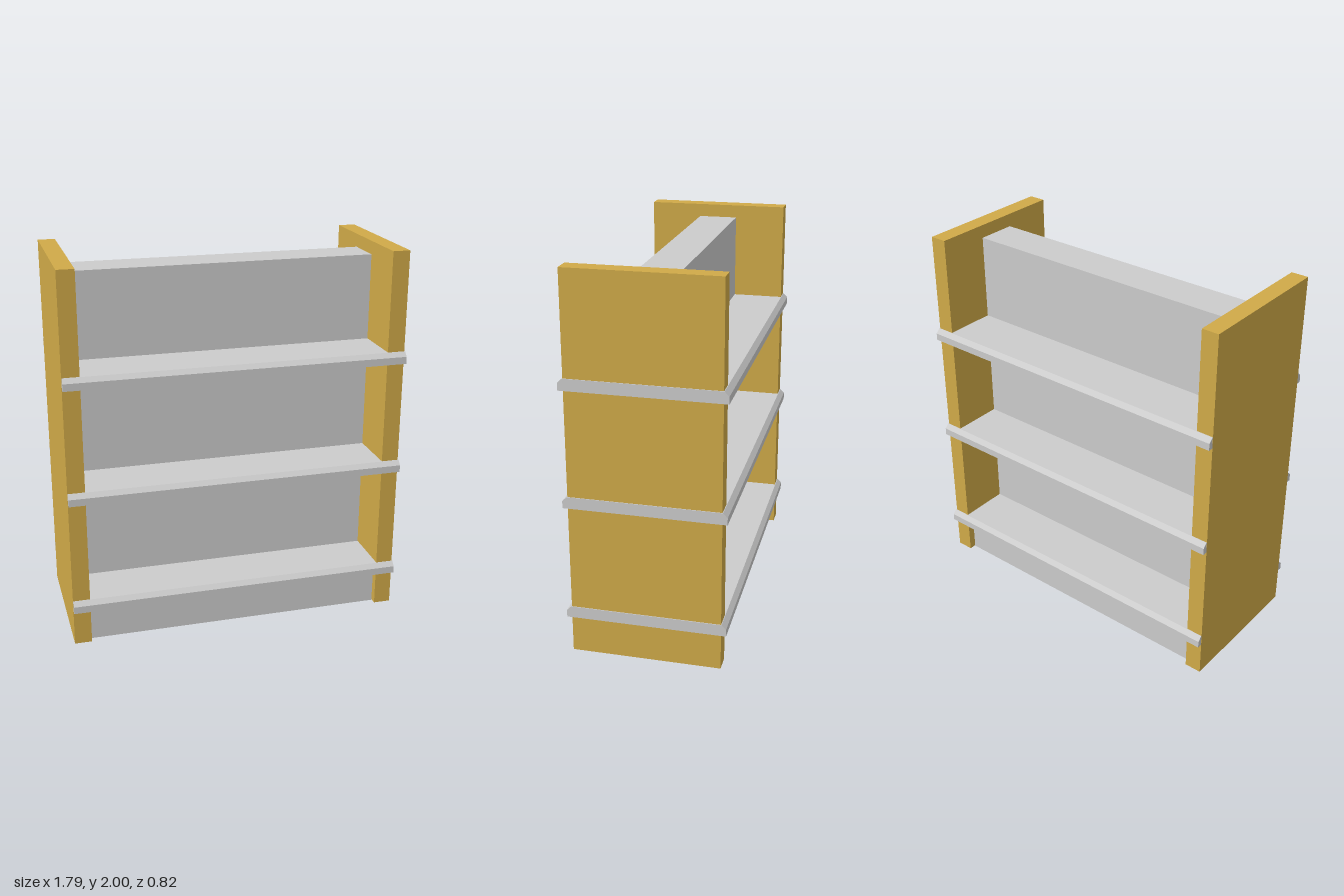
import * as THREE from 'three';

const grey = new THREE.MeshStandardMaterial({ color: 0xcccccc, flatShading: true });
const wood = new THREE.MeshStandardMaterial({ color: 0xd0aa48, flatShading: true });

// Box given by its min and max on each axis
function box(name, [x0, x1], [y0, y1], [z0, z1], material) {
  const mesh = new THREE.Mesh(new THREE.BoxGeometry(x1 - x0, y1 - y0, z1 - z0), material);
  mesh.position.set((x0 + x1) / 2, (y0 + y1) / 2, (z0 + z1) / 2);
  mesh.name = name;
  return mesh;
}

// Shelf with bevelled upper front and back edges, extruded along x
function shelf(name, y) {
  const profile = new THREE.Shape([
    [-0.41, 0], [0.41, 0], [0.41, 0.038], [0.387, 0.061], [-0.387, 0.061], [-0.41, 0.038],
  ].map(([z, h]) => new THREE.Vector2(z, h)));
  const geometry = new THREE.ExtrudeGeometry(profile, { depth: 1.784, bevelEnabled: false });
  geometry.rotateY(Math.PI / 2);
  const mesh = new THREE.Mesh(geometry, grey);
  mesh.position.set(-0.894, y, 0);
  mesh.name = name;
  return mesh;
}

export function createModel() {
  const model = new THREE.Group();
  model.name = 'doubleSidedShelf';

  // Side panels
  model.add(
    box('rightPanel', [-0.895, -0.805], [0.004, 2], [-0.384, 0.384], wood),
    box('leftPanel', [0.795, 0.886], [0.004, 2], [-0.384, 0.384], wood),
  );

  // Central divider and recessed plinth
  model.add(
    box('divider', [-0.81, 0.8], [0.22, 1.93], [-0.108, 0.104], grey),
    box('plinth', [-0.865, 0.865], [0, 0.21], [-0.345, 0.345], grey),
  );

  // Shelves running through the panels
  ['lowerShelf', 'middleShelf', 'upperShelf'].forEach((name, i) => {
    model.add(shelf(name, 0.195 + i * 0.608));
  });

  return model;
}
